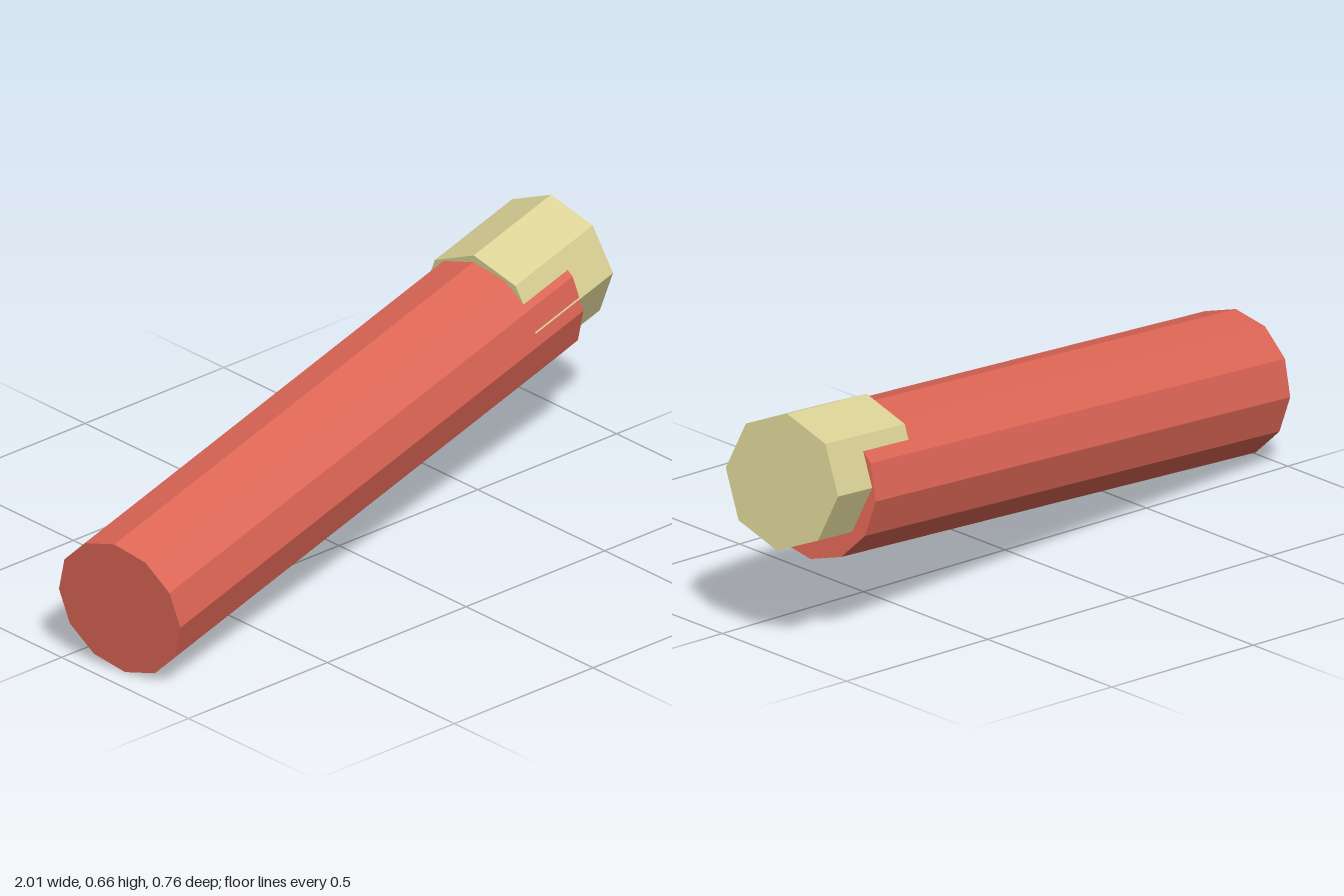
import * as THREE from 'three';

const red = new THREE.MeshStandardMaterial({ name: 'red', color: 0xde6656 });
const cream = new THREE.MeshStandardMaterial({ name: 'cream', color: 0xdcd397 });
red.flatShading = cream.flatShading = true;

// Closed prism from point a to point b, with one vertex of each ring pointing up
function rod(name, a, b, radius, sides, material) {
  const axis = b.clone().sub(a);
  const geometry = new THREE.CylinderGeometry(radius, radius, axis.length(), sides);
  geometry.rotateX(Math.PI / 2); // length along z, a vertex on y
  const mesh = new THREE.Mesh(geometry, material);
  mesh.name = name;
  mesh.position.copy(a).add(b).multiplyScalar(0.5);
  mesh.lookAt(b);
  return mesh;
}

export function createModel() {
  const group = new THREE.Group();
  group.name = 'stick';
  const dir = new THREE.Vector3(0.974, 0.121, -0.195).normalize();

  // Long twelve-sided body
  const bodyStart = new THREE.Vector3(-0.959, 0.2, 0.184);
  const bodyEnd = bodyStart.clone().addScaledVector(dir, 1.827);
  group.add(rod('body', bodyStart, bodyEnd, 0.2, 12, red));

  // Eight-sided tip, set slightly above the body's axis
  const tipEnd = new THREE.Vector3(0.962, 0.473, -0.197);
  const tipStart = tipEnd.clone().addScaledVector(dir, -0.35);
  group.add(rod('tip', tipStart, tipEnd, 0.188, 8, cream));

  return group;
}
